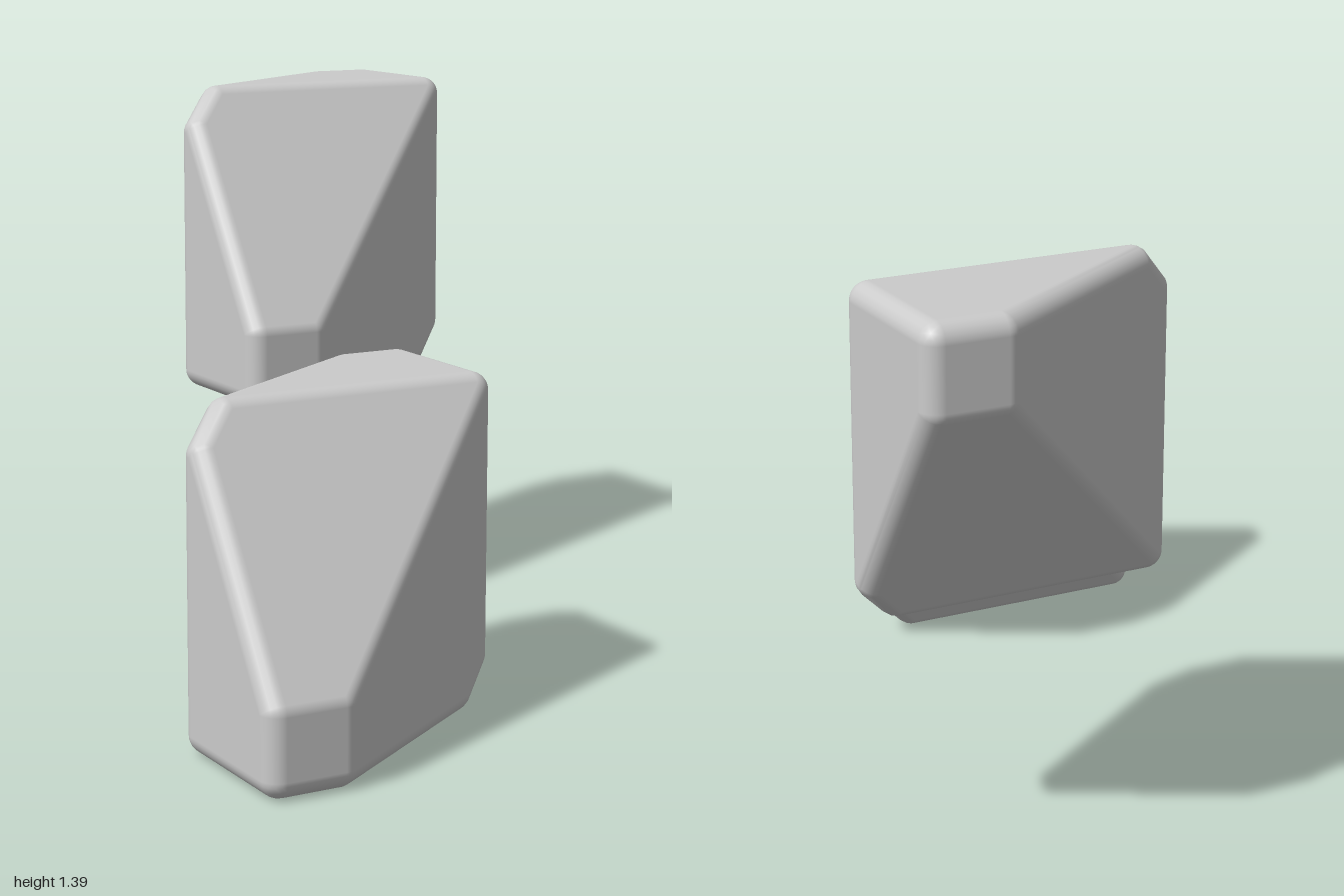
import * as THREE from 'three';
import { ConvexGeometry } from 'three/addons/geometries/ConvexGeometry.js';

const HALF = 0.402;  // half size of a block
const R = 0.045;     // edge rounding
const STEPS = 6;     // facets across a rounded edge

// Planes of the sheared block, moved inwards by the rounding radius
function blockPlanes() {
  const planes = [];
  const add = (x, y, z, px, py, pz) => {
    const n = new THREE.Vector3(x, y, z).normalize();
    const d = n.dot(new THREE.Vector3(px, py, pz)) - R;
    planes.push({ n, d }, { n: n.clone().negate(), d });
  };
  add(1, 0, 0, HALF, 0, 0);
  add(0, 1, 0, 0, HALF, 0);
  add(0, 0, 1, 0, 0, HALF * 0.995);
  add(0, 2, 3, 0, HALF, 0); // slope leaning back from the front
  add(2, 0, 3, HALF, 0, 0); // slope leaning sideways from the front
  return planes;
}

// Corners of the inner solid, each with the planes meeting there
function innerCorners(planes) {
  const corners = [];
  const m = new THREE.Matrix3();
  for (let i = 0; i < planes.length; i++)
    for (let j = i + 1; j < planes.length; j++)
      for (let k = j + 1; k < planes.length; k++) {
        const [a, b, c] = [planes[i], planes[j], planes[k]];
        m.set(a.n.x, a.n.y, a.n.z, b.n.x, b.n.y, b.n.z, c.n.x, c.n.y, c.n.z);
        if (Math.abs(m.determinant()) < 1e-6) continue;
        const p = new THREE.Vector3(a.d, b.d, c.d).applyMatrix3(m.invert());
        if (planes.some((q) => q.n.dot(p) > q.d + 1e-6)) continue;
        if (corners.some((q) => q.p.distanceTo(p) < 1e-5)) continue;
        corners.push({ p, normals: planes.filter((q) => q.n.dot(p) > q.d - 1e-6).map((q) => q.n) });
      }
  return corners;
}

// All blends of the given normals, in even steps
function blends(normals, left = STEPS, sum = new THREE.Vector3()) {
  if (normals.length === 1) return [sum.clone().addScaledVector(normals[0], left).normalize()];
  const out = [];
  for (let w = 0; w <= left; w++)
    out.push(...blends(normals.slice(1), left - w, sum.clone().addScaledVector(normals[0], w)));
  return out;
}

function roundedBlockGeometry() {
  const corners = innerCorners(blockPlanes());
  const points = new Map();
  for (const { p, normals } of corners)
    for (const d of blends(normals)) {
      const q = p.clone().addScaledVector(d, R);
      points.set(q.toArray().map((v) => Math.round(v * 1e5)).join(), q);
    }
  const geo = new ConvexGeometry([...points.values()]);

  // Smooth normals point away from the nearest inner corner
  const pos = geo.attributes.position;
  const v = new THREE.Vector3();
  for (let i = 0; i < pos.count; i++) {
    v.fromBufferAttribute(pos, i);
    let best = corners[0].p;
    for (const { p } of corners) if (p.distanceTo(v) < best.distanceTo(v)) best = p;
    v.sub(best).normalize();
    geo.attributes.normal.setXYZ(i, v.x, v.y, v.z);
  }
  return geo;
}

export function createModel() {
  const model = new THREE.Group();
  model.name = 'roundedBlocks';
  const geo = roundedBlockGeometry();
  const mat = new THREE.MeshStandardMaterial({ color: 0xcccccc });
  const addBlock = (name, x, y, z) => {
    const block = new THREE.Mesh(geo, mat);
    block.name = name;
    block.position.set(x, y, z);
    model.add(block);
  };
  addBlock('frontLowerBlock', -0.295, 0.406, 0.6);
  addBlock('backUpperBlock', 0.295, 0.993, -0.6);
  return model;
}
